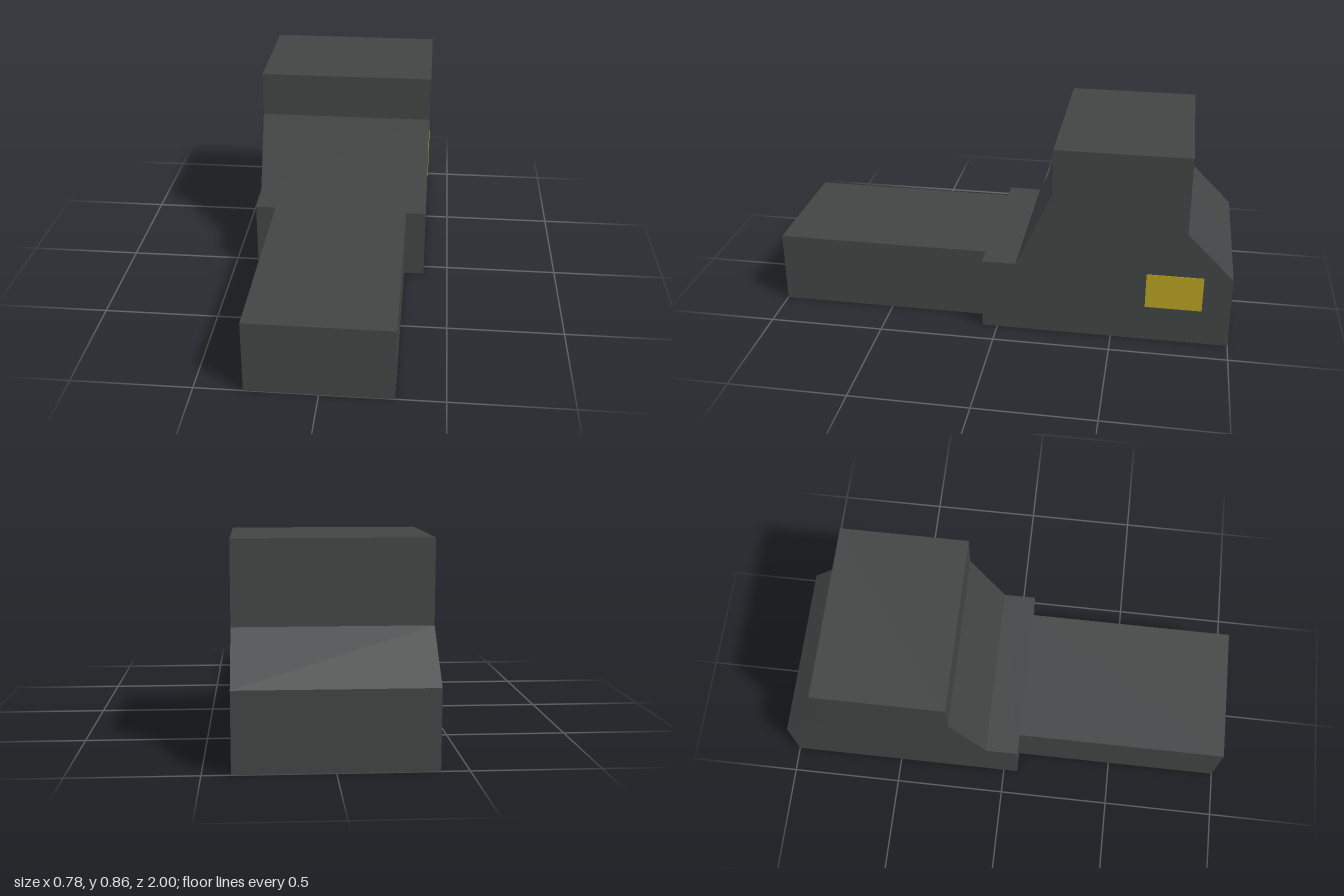
import * as THREE from 'three';

export function createModel() {
  const model = new THREE.Group();
  const charcoal = new THREE.MeshStandardMaterial({ color: 0x404544 });
  charcoal.name = 'charcoal';
  const yellow = new THREE.MeshStandardMaterial({ color: 0xb8a123 });
  yellow.name = 'yellow';

  const add = (name, geometry, material, x = 0, y = 0, z = 0) => {
    const mesh = new THREE.Mesh(geometry, material);
    mesh.name = name;
    mesh.position.set(x, y, z);
    model.add(mesh);
    return mesh;
  };

  // Side profile (z, y) extruded across the width
  const halfWidth = 0.39;
  const profile = [
    [0.065, 0], [0.065, 0.318], [-0.08, 0.318], [-0.235, 0.655], [-0.235, 0.855],
    [-0.8, 0.855], [-0.8, 0.518], [-1, 0.318], [-1, 0],
  ].map(([z, y]) => new THREE.Vector2(z, y));
  const body = new THREE.ExtrudeGeometry(new THREE.Shape(profile), {
    depth: 2 * halfWidth, bevelEnabled: false,
  });
  body.rotateY(-Math.PI / 2).translate(halfWidth, 0, 0);
  add('cabBody', body, charcoal);

  // Narrower long block ahead of the cab
  add('frontDeck', new THREE.BoxGeometry(0.6, 0.318, 0.935), charcoal, 0, 0.159, 0.5325);

  // Painted panel on the left side only
  add('sidePanel', new THREE.BoxGeometry(0.004, 0.157, 0.24), yellow, halfWidth + 0.001, 0.2395, -0.76);

  return model;
}
